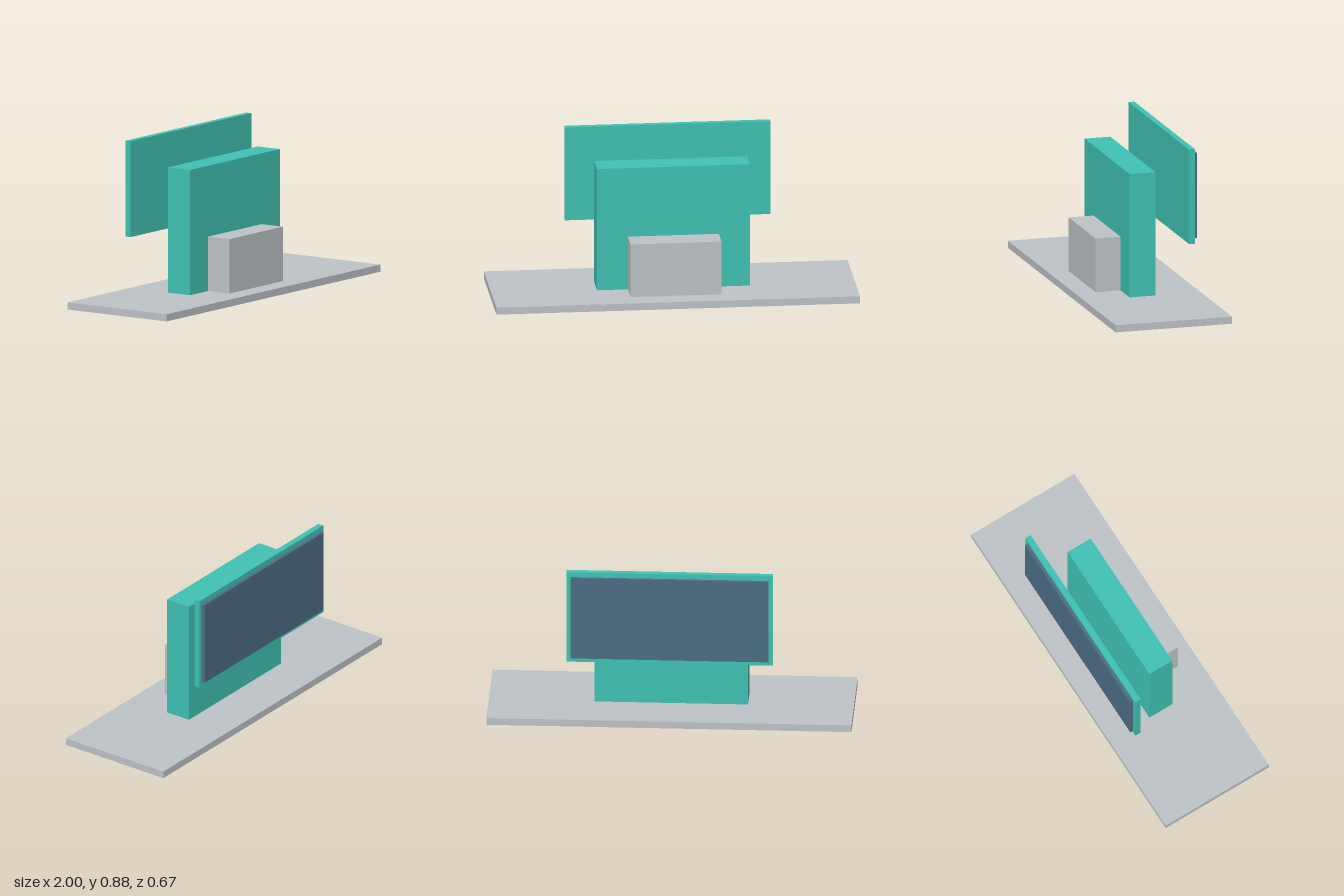
import * as THREE from 'three';

export function createModel() {
  const model = new THREE.Group();
  const material = (name, color) => {
    const m = new THREE.MeshStandardMaterial({ color });
    m.name = name;
    return m;
  };
  const teal = material('teal', 0x40c1b3);
  const grey = material('light grey', 0xbec3c7);
  const slate = material('slate blue', 0x4c6c82);

  // Box given by half width and its y and z limits, centred on x
  const block = (name, mat, halfX, y0, y1, z0, z1) => {
    const mesh = new THREE.Mesh(new THREE.BoxGeometry(halfX * 2, y1 - y0, z1 - z0), mat);
    mesh.position.set(0, (y0 + y1) / 2, (z0 + z1) / 2);
    mesh.name = name;
    model.add(mesh);
  };

  // Ground slab
  block('base', grey, 1, 0, 0.04, -0.333, 0.333);
  // Main upright block, sunk slightly into the base
  block('body', teal, 0.42, 0.02, 0.735, -0.074, 0.074);
  // Low step in front of the body
  block('frontBlock', grey, 0.25, 0.02, 0.342, 0.06, 0.217);
  // Floating board behind the body, with its raised screen facing back
  block('screenFrame', teal, 0.565, 0.353, 0.885, -0.256, -0.222);
  block('screenPanel', slate, 0.542, 0.38, 0.857, -0.274, -0.25);

  return model;
}
